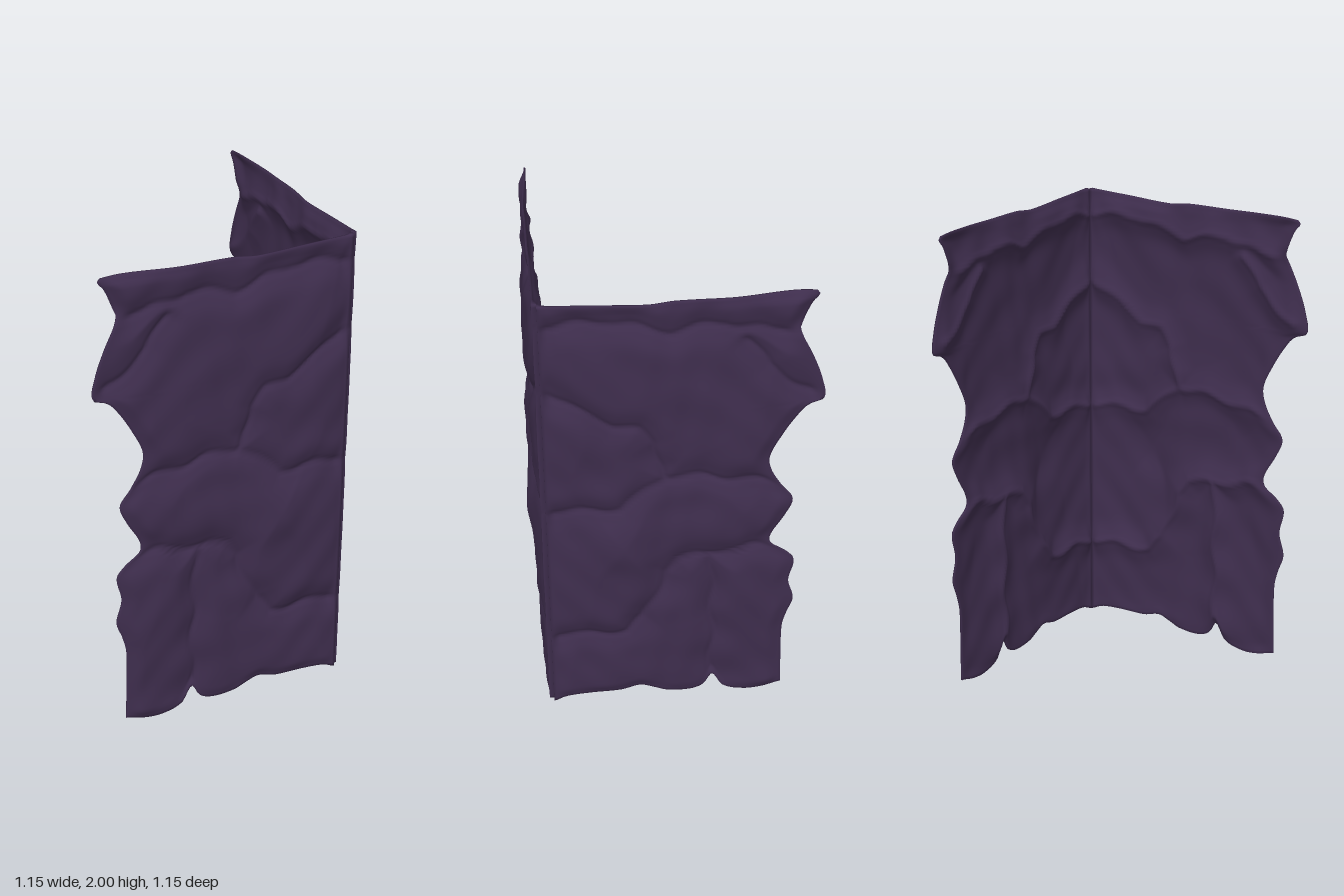
import * as THREE from 'three';

const stone = new THREE.MeshStandardMaterial({ color: 0x3f2e4e });
stone.name = 'dark purple stone';

const { lerp, smoothstep, clamp } = THREE.MathUtils;
const COLS = 84, ROWS = 150, INNER_END = 0.506;

// Ragged free edge: [height, x]
const freeEdge = [[0, -0.46], [0.2, -0.455], [0.35, -0.455], [0.42, -0.47], [0.5, -0.495], [0.6, -0.472],
  [0.71, -0.49], [0.76, -0.45], [0.8, -0.395], [0.85, -0.39], [0.95, -0.445], [1.03, -0.473], [1.1, -0.425],
  [1.18, -0.383], [1.25, -0.375], [1.35, -0.42], [1.44, -0.475], [1.49, -0.52], [1.51, -0.574], [1.6, -0.565],
  [1.7, -0.53], [1.83, -0.473], [1.86, -0.48], [1.95, -0.515], [1.985, -0.54], [2, -0.53]];
// Lower and upper rims: [x, height]
const bottomRim = [[-0.5, 0.03], [-0.45, 0.025], [-0.38, 0.005], [-0.3, 0], [-0.21, 0.03], [-0.165, 0.1],
  [-0.13, 0.045], [-0.07, 0.02], [0.03, 0.025], [0.08, 0.045], [0.14, 0.065], [0.22, 0.045], [0.35, 0.04],
  [0.45, 0.03], [0.5, 0.01]];
const topRim = [[-0.57, 1.985], [-0.45, 1.995], [-0.2, 1.99], [0, 1.99], [0.1, 1.98], [0.3, 1.99], [0.5, 2]];
// Outer face distance along the width and along the height
const bulgeAcross = [[-0.58, 0.53], [-0.5, 0.543], [-0.4, 0.55], [-0.28, 0.562], [-0.2, 0.556], [0, 0.552],
  [0.1, 0.558], [0.2, 0.577], [0.3, 0.563], [0.4, 0.549], [0.5, 0.532]];
const bulgeUp = [[0, 0.54], [0.3, 0.548], [0.5, 0.557], [0.7, 0.562], [0.85, 0.577], [1, 0.562], [1.2, 0.55],
  [1.4, 0.557], [1.7, 0.549], [2, 0.535]];
// Seams between the stones
const seams = [
  [[-0.47, 1.1], [-0.38, 1.12], [-0.25, 1.15], [-0.1, 1.17], [0.05, 1.18], [0.12, 1.12], [0.2, 1.04], [0.5, 1.03]],
  [[0.05, 1.19], [0.05, 1.25], [0.08, 1.35], [0.15, 1.42], [0.25, 1.45], [0.35, 1.52], [0.5, 1.62]],
  [[-0.5, 0.79], [-0.3, 0.8], [-0.15, 0.77], [-0.03, 0.76], [0.03, 0.7], [0.07, 0.58], [0.12, 0.45], [0.2, 0.38], [0.5, 0.37]],
  [[-0.15, 0.77], [-0.16, 0.4], [-0.16, 0.05]],
  [[-0.5, 1.84], [-0.38, 1.83], [-0.2, 1.88], [0, 1.85], [0.1, 1.87], [0.25, 1.91], [0.5, 1.9]],
  [[-0.28, 1.8], [-0.35, 1.68], [-0.54, 1.54]],
];

// Smooth curve through a table of [t, value]
function curve(table, t) {
  const last = table.length - 1;
  if (t <= table[0][0]) return table[0][1];
  if (t >= table[last][0]) return table[last][1];
  const slope = (k) => {
    const a = table[Math.max(0, k - 1)], b = table[Math.min(last, k + 1)];
    return (b[1] - a[1]) / (b[0] - a[0]);
  };
  const i = table.findIndex((p) => p[0] > t);
  const [a, va] = table[i - 1], [b, vb] = table[i];
  const w = b - a, s = (t - a) / w, r = 1 - s;
  return r * r * (1 + 2 * s) * va + s * s * (3 - 2 * s) * vb + s * r * w * (r * slope(i - 1) - s * slope(i));
}

function seamDistance(x, y) {
  let best = 9;
  for (const line of seams) {
    for (let i = 1; i < line.length; i++) {
      const [ax, ay] = line[i - 1], dx = line[i][0] - ax, dy = line[i][1] - ay;
      const t = clamp(((x - ax) * dx + (y - ay) * dy) / (dx * dx + dy * dy), 0, 1);
      best = Math.min(best, Math.hypot(x - ax - t * dx, y - ay - t * dy));
    }
  }
  return best;
}

// Uneven chisel marks, 0 to 1
function lumps(x, y) {
  const a = Math.sin(12 * x + 5 * y + 2 * Math.sin(6 * y)) * Math.cos(9 * y - 7 * x);
  const b = Math.sin(27 * x - 11 * y) * Math.sin(19 * y + 8 * x + 2 * Math.sin(9 * x));
  return 0.5 + 0.32 * a + 0.18 * b;
}

// Front and back depth of the thin stone skin at one point
function depths(x, y, toFree, toInner, toRim) {
  const d = seamDistance(x + 0.012 * Math.sin(23 * y), y + 0.012 * Math.sin(27 * x + 1));
  const groove = 0.009 * Math.exp(-((d / 0.013) ** 2)) + 0.02 * Math.exp(-((d / 0.06) ** 2));
  const front = Math.min(curve(bulgeAcross, x), curve(bulgeUp, y)) - groove - 0.016 * lumps(x, y);
  // The skin pinches to a thin rim, and keeps a blunt end where the walls meet at the corner
  const inner = 1 - smoothstep(toInner, 0, 0.04);
  const lean = 0.52 - 0.022 * smoothstep(y, 1.78, 1.88) * (1 - smoothstep(x, -0.5, -0.2));
  const middle = lerp(lean, 0.515, inner), half = lerp(0.003, 0.01, inner);
  const full = smoothstep(toFree, -0.01, 0.07) * smoothstep(toInner, -0.01, 0.04) * smoothstep(toRim, -0.005, 0.045);
  return [lerp(middle + half, front, full), lerp(middle - half, front - 0.015, full)];
}

// Closed slab from stacked rings; swapped puts it across the diagonal
function slabGeometry(swapped) {
  const pos = [], index = [], ring = 2 * (COLS + 1);
  const put = (x, y, z) => swapped ? pos.push(z, y, x) : pos.push(x, y, z);
  const tri = (a, b, c) => swapped ? index.push(a, c, b) : index.push(a, b, c);
  const quad = (a, b, c, d) => { tri(a, b, c); tri(a, c, d); };
  for (let j = 0; j <= ROWS; j++) {
    const v = j / ROWS, left = curve(freeEdge, 2 * v), fronts = [], backs = [];
    for (let i = 0; i <= COLS; i++) {
      const x = lerp(left, INNER_END, i / COLS);
      const low = curve(bottomRim, x), high = curve(topRim, x);
      // Rim shape fades out away from the rims
      const y = 2 * v + low * Math.max(0, 1 - v * 5) + (high - 2) * Math.max(0, 1 - (1 - v) * 8);
      const [f, b] = depths(x, y, x - left, INNER_END - x, Math.min(y - low, high - y));
      fronts.push([x, y, f]);
      backs.unshift([x, y, b]);
    }
    [...fronts, ...backs].forEach((p) => put(...p));
  }
  for (let j = 0; j < ROWS; j++) {
    for (let k = 0; k < ring; k++) {
      const n = (k + 1) % ring, a = j * ring;
      quad(a + k, a + n, a + ring + n, a + ring + k);
    }
  }
  // Close the bottom and top rims
  const top = ROWS * ring;
  for (let i = 0; i < COLS; i++) {
    const back = ring - 1 - i;
    quad(i, back, back - 1, i + 1);
    quad(top + i, top + i + 1, top + back - 1, top + back);
  }
  const geometry = new THREE.BufferGeometry();
  geometry.setAttribute('position', new THREE.Float32BufferAttribute(pos, 3));
  geometry.setIndex(index);
  geometry.computeVertexNormals();
  return geometry;
}

export function createModel() {
  const group = new THREE.Group();
  group.name = 'stoneWallCorner';
  for (const [name, swapped] of [['frontWall', false], ['sideWall', true]]) {
    const wall = new THREE.Mesh(slabGeometry(swapped), stone);
    wall.name = name;
    group.add(wall);
  }
  return group;
}
